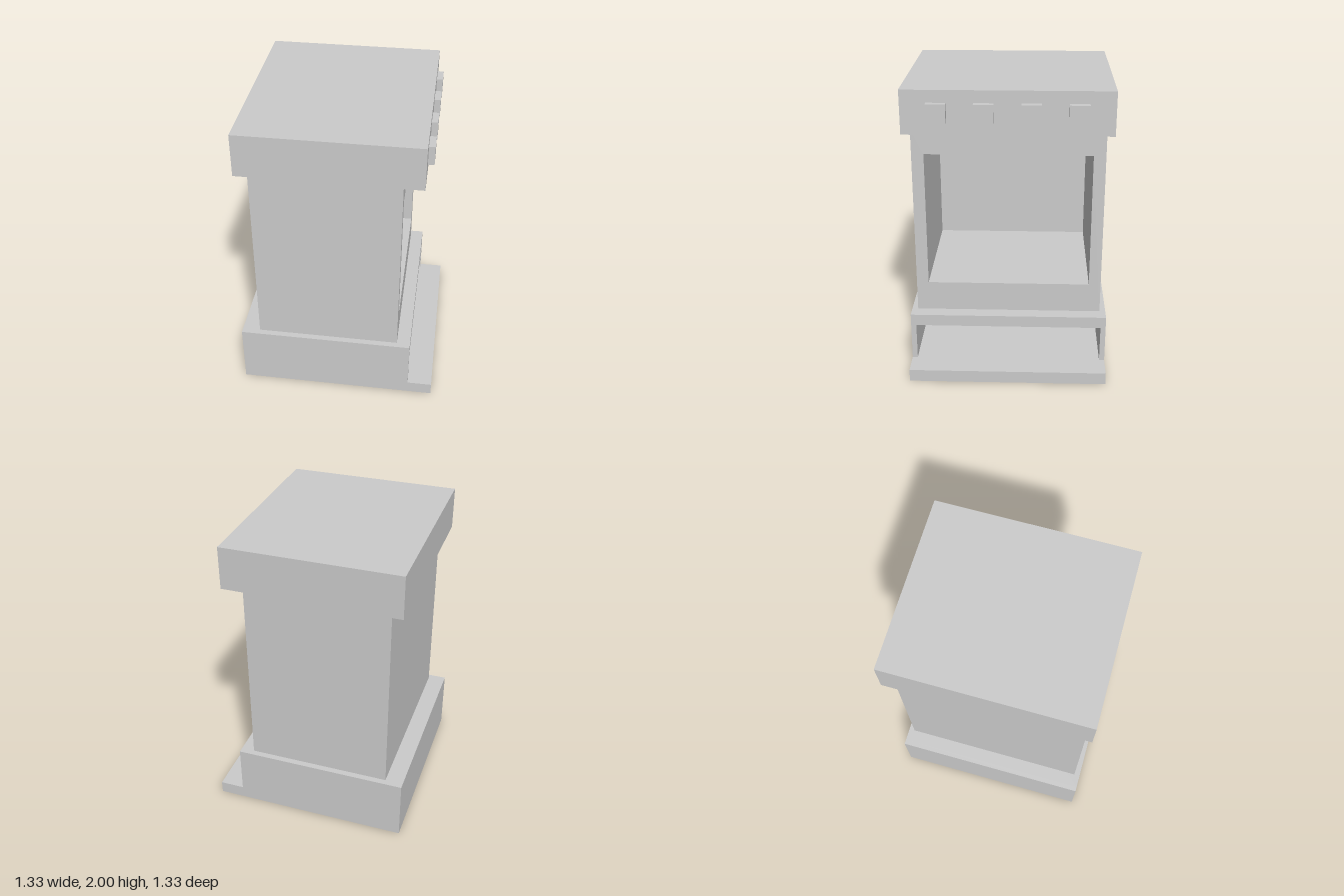
import * as THREE from 'three';

const material = new THREE.MeshStandardMaterial({ color: 0xcccccc, flatShading: true });

export function createModel() {
  const model = new THREE.Group();
  model.name = 'stove';

  const add = (name, geometry) => {
    const mesh = new THREE.Mesh(geometry, material);
    mesh.name = name;
    model.add(mesh);
    return mesh;
  };

  // Box given by its extents on each axis
  const box = (name, [x0, x1], [y0, y1], [z0, z1]) =>
    add(name, new THREE.BoxGeometry(x1 - x0, y1 - y0, z1 - z0)
      .translate((x0 + x1) / 2, (y0 + y1) / 2, (z0 + z1) / 2));

  const outline = (Type, points) => new Type(points.map(([z, y]) => new THREE.Vector2(z, y)));

  // Extrudes a z-y section along x
  const extrudeX = (name, shape, x0, x1) =>
    add(name, new THREE.ExtrudeGeometry(shape, { depth: x1 - x0, bevelEnabled: false })
      .rotateY(Math.PI / 2).translate(x0, 0, 0));

  // Base: floor slab with a front lip, and a hollow drawer space above it
  box('baseSlab', [-0.665, 0.665], [0, 0.085], [-0.665, 0.665]);
  const drawerFrame = outline(THREE.Shape, [
    [-0.665, 0.085], [-0.63, 0.085], [-0.63, 0.34], [0.63, 0.34],
    [0.63, 0.085], [0.665, 0.085], [0.665, 0.42], [-0.665, 0.42],
  ]);
  extrudeX('drawerHousing', drawerFrame, -0.63, 0.5);
  box('drawerBack', [-0.665, -0.63], [0.085, 0.42], [-0.665, 0.665]);

  // Oven body: open-fronted chamber with a closed back
  const bodyFrame = outline(THREE.Shape, [
    [-0.625, 0.42], [0.625, 0.42], [0.625, 1.715], [-0.625, 1.715],
  ]);
  bodyFrame.holes.push(outline(THREE.Path, [
    [-0.545, 0.625], [-0.545, 1.545], [0.545, 1.545], [0.545, 0.625],
  ]));
  extrudeX('ovenBody', bodyFrame, -0.465, 0.41);
  box('ovenBack', [-0.545, -0.465], [0.42, 1.715], [-0.625, 0.625]);

  // Overhanging top
  box('cooktop', [-0.625, 0.54], [1.715, 2], [-0.665, 0.665]);

  // Row of control knobs
  for (let i = 0; i < 4; i++) {
    const z = -0.44 + i * 0.2935;
    box(`knob${i + 1}`, [0.54, 0.58], [1.795, 1.92], [z - 0.0625, z + 0.0625]);
  }

  return model;
}
